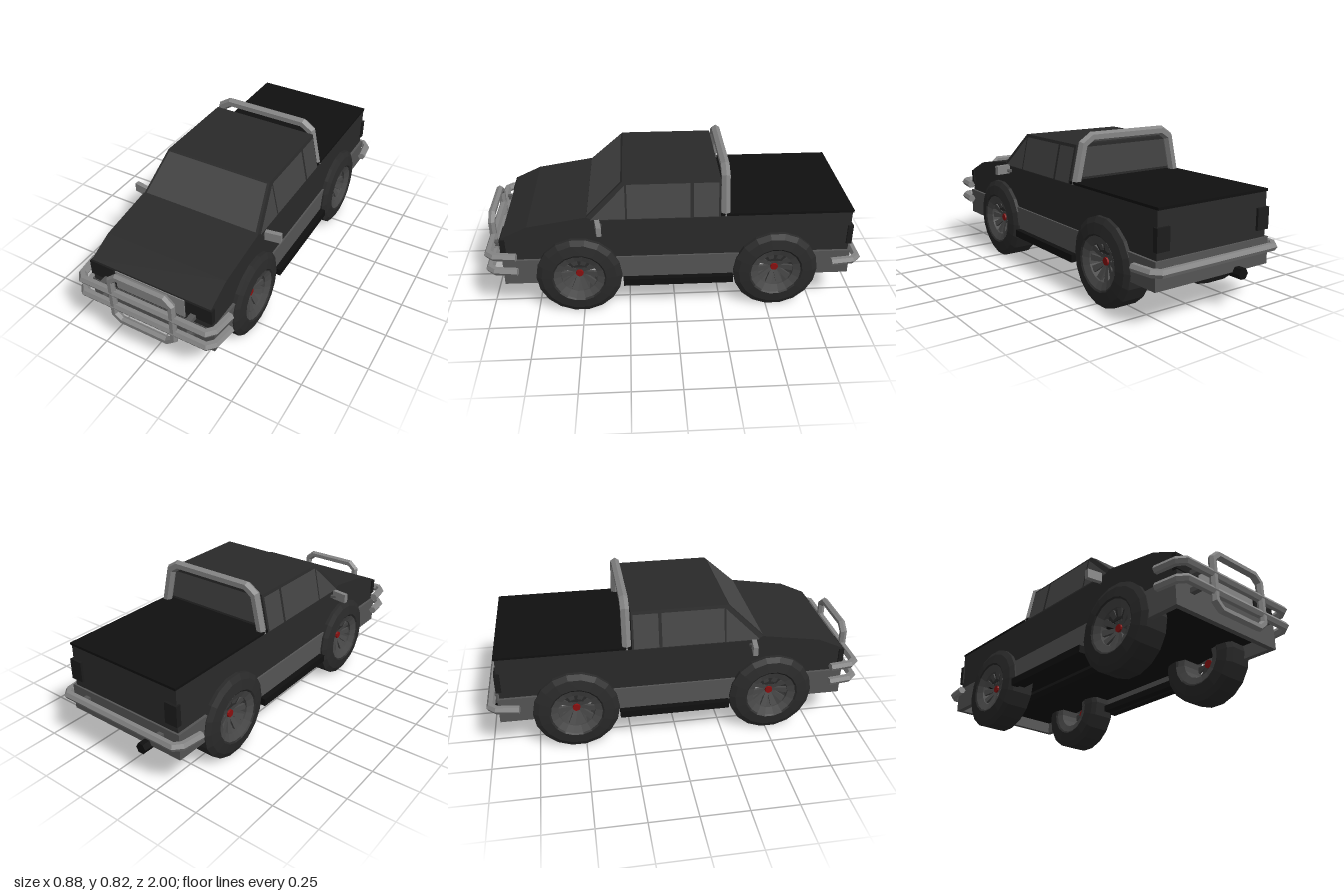
import * as THREE from 'three';

const mat = (color) => new THREE.MeshStandardMaterial({ color, flatShading: true, side: THREE.DoubleSide });

export function createModel() {
  const truck = new THREE.Group();
  const paint = mat(0x2a2a2a), glass = mat(0x444444), chrome = mat(0x858585), trim = mat(0x555555);
  const black = mat(0x101010), rubber = mat(0x2a2a2a), rimGrey = mat(0x484848), red = mat(0x8a1010), lamp = mat(0x1c1c1c);
  const V = (x, y, z) => new THREE.Vector3(x, y, z);

  function add(name, geo, material, parent = truck) {
    const m = new THREE.Mesh(geo, material);
    m.name = name;
    parent.add(m);
    return m;
  }
  // Box given by its limits on each axis
  function box(name, x0, x1, y0, y1, z0, z1, material) {
    const g = new THREE.BoxGeometry(x1 - x0, y1 - y0, z1 - z0);
    g.translate((x0 + x1) / 2, (y0 + y1) / 2, (z0 + z1) / 2);
    return add(name, g, material);
  }
  // Mitred six-sided bar along a path lying in the plane with normal n
  function bar(name, pts, n, r, material, closed = false) {
    const pos = [], idx = [], N = pts.length, S = 6;
    pts.forEach((p, i) => {
      const prev = pts[closed ? (i + N - 1) % N : Math.max(i - 1, 0)];
      const next = pts[closed ? (i + 1) % N : Math.min(i + 1, N - 1)];
      const a = p.clone().sub(prev).normalize(), b = next.clone().sub(p).normalize();
      const t = a.clone().add(b).normalize();
      const stretch = 1 / Math.max(t.dot(a.lengthSq() ? a : b), 0.5);
      const side = n.clone().cross(t);
      for (let k = 0; k < S; k++) {
        const q = k / S * Math.PI * 2;
        const v = p.clone().addScaledVector(side, Math.cos(q) * r * stretch).addScaledVector(n, Math.sin(q) * r);
        pos.push(v.x, v.y, v.z);
      }
    });
    for (let i = 0; i < (closed ? N : N - 1); i++) {
      for (let k = 0; k < S; k++) {
        const a = i * S + k, b = i * S + (k + 1) % S, c = ((i + 1) % N) * S + k, d = ((i + 1) % N) * S + (k + 1) % S;
        idx.push(a, c, b, b, c, d);
      }
    }
    if (!closed) {
      const e = (N - 1) * S;
      for (let k = 1; k < S - 1; k++) idx.push(0, k, k + 1, e, e + k + 1, e + k);
    }
    const g = new THREE.BufferGeometry();
    g.setAttribute('position', new THREE.Float32BufferAttribute(pos, 3));
    g.setIndex(idx);
    g.computeVertexNormals();
    return add(name, g, material);
  }
  // Flat polygon from a fan of points
  function pane(name, pts, material) {
    const g = new THREE.BufferGeometry().setFromPoints(pts), idx = [];
    for (let i = 1; i < pts.length - 1; i++) idx.push(0, i, i + 1);
    g.setIndex(idx);
    g.computeVertexNormals();
    return add(name, g, material);
  }

  // Lower body, a side profile extruded across the width
  const profile = [[0.91, 0.27], [0.91, 0.465], [0.77, 0.53], [0.46, 0.58], [0.42, 0.56], [-0.235, 0.56],
    [-0.235, 0.568], [-0.93, 0.568], [-0.93, 0.27]];
  const body = new THREE.ExtrudeGeometry(new THREE.Shape(profile.map(([z, y]) => new THREE.Vector2(z, y))),
    { depth: 0.69, bevelEnabled: false });
  body.translate(0, 0, -0.345).rotateY(-Math.PI / 2);
  add('body', body, paint);
  box('floor', -0.335, 0.335, 0.262, 0.272, -0.925, 0.9, black);
  box('bedCover', -0.347, 0.347, 0.565, 0.578, -0.937, -0.237, black);

  // Cab, a box tapered toward the roof
  const cab = new THREE.BoxGeometry(2, 1, 1);
  const cp = cab.attributes.position;
  for (let i = 0; i < cp.count; i++) {
    const top = cp.getY(i) > 0;
    cp.setXYZ(i, Math.sign(cp.getX(i)) * (top ? 0.303 : 0.345), top ? 0.76 : 0.56,
      cp.getZ(i) < 0 ? -0.235 : top ? 0.27 : 0.48);
  }
  cab.computeVertexNormals();
  add('cab', cab, paint);

  // Windows, just proud of the cab faces
  const cabX = (y) => 0.349 - (y - 0.56) * 0.21;
  const frontZ = (y) => 0.484 - (y - 0.56) * 1.05;
  pane('windscreen', [[-1, 0.585], [1, 0.585], [1, 0.755], [-1, 0.755]]
    .map(([s, y]) => V(s * (cabX(y) - 0.016), y, frontZ(y))), glass);
  pane('rearWindow', [[1, 0.59], [-1, 0.59], [-1, 0.745], [1, 0.745]]
    .map(([s, y]) => V(s * (cabX(y) - 0.03), y, -0.238)), glass);
  const sideWindows = {
    quarterWindow: [[0.44, 0.565], [0.26, 0.565], [0.26, 0.74]],
    frontWindow: [[0.25, 0.565], [-0.078, 0.565], [-0.078, 0.745], [0.25, 0.745]],
    backWindow: [[-0.095, 0.565], [-0.225, 0.565], [-0.225, 0.745], [-0.095, 0.745]],
  };

  // Front panel, grille and rear panel
  box('grille', -0.2, 0.2, 0.345, 0.455, 0.9, 0.915, chrome);
  box('frontBumper', -0.36, 0.36, 0.19, 0.335, 0.885, 0.912, trim);
  box('rearBumper', -0.36, 0.36, 0.195, 0.335, -0.94, -0.915, trim);

  for (const s of [1, -1]) {
    const side = s > 0 ? 'left' : 'right';
    const sbox = (name, x0, x1, ...rest) => box(side + name, Math.min(s * x0, s * x1), Math.max(s * x0, s * x1), ...rest);
    for (const [name, pts] of Object.entries(sideWindows)) {
      const list = pts.map(([z, y]) => V(s * cabX(y), y, z));
      pane(side + name, s > 0 ? list : list.reverse(), glass);
    }
    sbox('FrontTrim', 0.33, 0.36, 0.19, 0.335, 0.66, 0.9, trim);
    sbox('SideTrim', 0.33, 0.355, 0.205, 0.335, -0.4, 0.38, trim);
    sbox('RearTrim', 0.33, 0.36, 0.195, 0.335, -0.93, -0.68, trim);
    sbox('SideStep', 0.345, 0.387, 0.17, 0.21, -0.31, 0.28, black);
    sbox('StepMount', 0.3, 0.35, 0.18, 0.215, -0.31, 0.28, black);
    sbox('Headlight', 0.21, 0.353, 0.375, 0.46, 0.89, 0.917, lamp);
    sbox('TailLight', 0.28, 0.355, 0.375, 0.487, -0.943, -0.915, lamp);

    // Door mirror on a short stalk
    bar(side + 'MirrorStalk', [V(s * 0.33, 0.53, 0.39), V(s * 0.375, 0.54, 0.4)], V(0, 0, 1), 0.012, trim);
    const mirror = add(side + 'Mirror', new THREE.BoxGeometry(0.085, 0.05, 0.025), chrome);
    mirror.position.set(s * 0.398, 0.546, 0.4);
    mirror.rotation.y = s * 0.15;
  }

  // Tubular bars, each path mirrored from its left half
  const mirrored = (half) => [...half, ...half.slice().reverse().map((p) => V(-p.x, p.y, p.z))];
  bar('rollBar', mirrored([V(0.325, 0.56, -0.262), V(0.28, 0.765, -0.262), V(0.228, 0.799, -0.262)]), V(0, 0, 1), 0.026, chrome);
  for (const [name, y, d] of [['upperFrontBar', 0.383, 1], ['lowerFrontBar', 0.293, 1], ['rearBar', 0.293, -1]]) {
    bar(name, mirrored([V(0.4, y, d * 0.83), V(0.385, y, d * 0.945), V(0.355, y, d * 0.978)]), V(0, 1, 0), 0.022, chrome);
    for (const s of [1, -1]) box(name + 'Bracket', s * 0.25 - 0.015, s * 0.25 + 0.015, y - 0.012, y + 0.012,
      d > 0 ? 0.89 : -0.98, d > 0 ? 0.98 : -0.92, trim);
  }
  const loop = mirrored([V(0.135, 0.212, 0.98), V(0.175, 0.245, 0.98), V(0.175, 0.465, 0.98), V(0.135, 0.5, 0.98)]);
  bar('bullBar', loop, V(0, 0, 1), 0.02, chrome, true);
  bar('exhaustPipe', [V(-0.15, 0.193, -0.985), V(-0.15, 0.193, 0.5)], V(0, 1, 0), 0.03, black);

  // Wheels: chamfered tyre, open rim, tapered spokes and a red hub
  const lathe = (pts) => new THREE.LatheGeometry(pts.map(([r, h]) => new THREE.Vector2(r, h)), 18).rotateZ(-Math.PI / 2);
  const tyre = lathe([[0.135, -0.08], [0.145, -0.0875], [0.2, -0.078], [0.229, -0.062], [0.229, 0.062], [0.2, 0.078],
    [0.145, 0.0875], [0.135, 0.08]]);
  const rim = lathe([[0.136, 0.082], [0.098, 0.065], [0.098, -0.07], [0.136, -0.08]]);
  const spoke = new THREE.BoxGeometry(0.014, 0.088, 0.026);
  const sp = spoke.attributes.position;
  for (let i = 0; i < sp.count; i++) {
    const outer = sp.getY(i) > 0;
    sp.setZ(i, sp.getZ(i) * (outer ? 1.35 : 0.6));
    sp.setX(i, sp.getX(i) + (outer ? 0.05 : 0.02));
  }
  spoke.translate(0, 0.056, 0);
  spoke.computeVertexNormals();
  const hub = new THREE.CylinderGeometry(0.02, 0.024, 0.03, 10).rotateZ(-Math.PI / 2).translate(0.024, 0, 0);
  for (const s of [1, -1]) {
    for (const [end, z] of [['front', 0.515], ['rear', -0.54]]) {
      const wheel = new THREE.Group();
      wheel.name = end + (s > 0 ? 'Left' : 'Right') + 'Wheel';
      add('tyre', tyre, rubber, wheel);
      add('rim', rim, rimGrey, wheel);
      for (let k = 0; k < 10; k++) add('spoke', spoke, rimGrey, wheel).rotation.x = (k + 0.5) / 10 * Math.PI * 2;
      add('hub', hub, red, wheel);
      wheel.position.set(s * 0.3025, 0.229, z);
      if (s < 0) wheel.rotation.y = Math.PI;
      truck.add(wheel);
    }
  }
  return truck;
}
